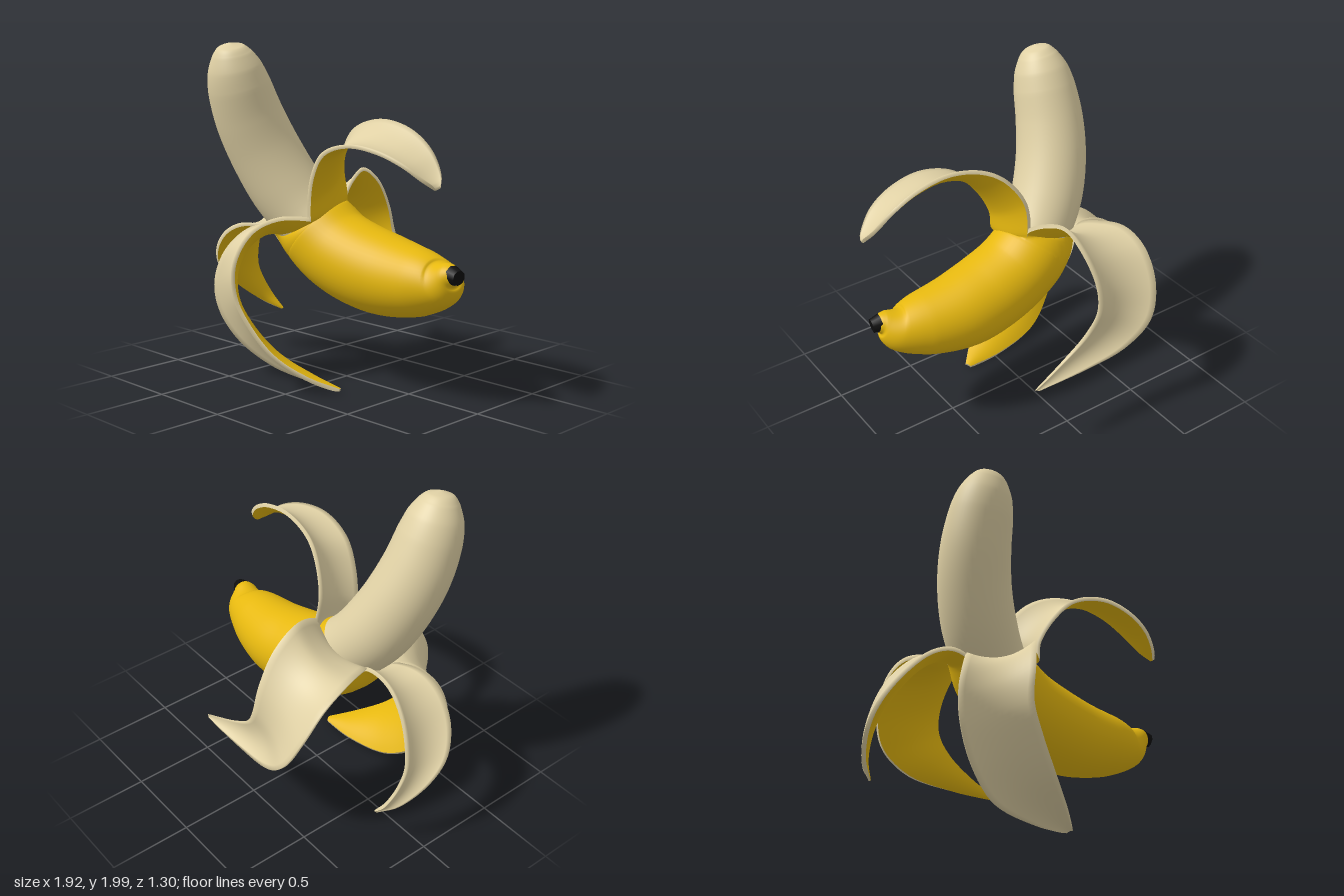
import * as THREE from 'three';

const V = (p) => new THREE.Vector3(p[0], p[1], p[2]);
const spline = (pts) => new THREE.CatmullRomCurve3(pts.map((p) => (p.isVector3 ? p : V(p))));

// Smooth surface through equal-length rows of points
function skinRows(rows, { wrap = false, flip = false } = {}) {
  const n = rows[0].length, pos = [], idx = [];
  rows.forEach((r) => r.forEach((p) => pos.push(p.x, p.y, p.z)));
  for (let i = 0; i < rows.length - 1; i++) {
    for (let j = 0; j < (wrap ? n : n - 1); j++) {
      const k = (j + 1) % n;
      const a = i * n + j, b = i * n + k, c = a + n, d = b + n;
      if (flip) idx.push(a, c, b, b, c, d);
      else idx.push(a, b, c, b, d, c);
    }
  }
  const g = new THREE.BufferGeometry();
  g.setAttribute('position', new THREE.Float32BufferAttribute(pos, 3));
  g.setIndex(idx);
  g.computeVertexNormals();
  return g;
}

// Round sweep; every station is [x, y, z, radius]
function sweep(stations, steps, sides) {
  const path = spline(stations);
  const radius = spline(stations.map((s, i) => [s[3], i * 0.1, 0]));
  const rows = [];
  for (let i = 0; i <= steps; i++) {
    const c = path.getPoint(i / steps), t = path.getTangent(i / steps);
    const r = Math.max(0.001, radius.getPoint(i / steps).x);
    const u = new THREE.Vector3(0, 0, 1).addScaledVector(t, -t.z).normalize();
    const v = t.clone().cross(u);
    rows.push(Array.from({ length: sides }, (_, j) => {
      const a = (j / sides) * Math.PI * 2;
      return c.clone().addScaledVector(u, r * Math.cos(a)).addScaledVector(v, r * Math.sin(a));
    }));
  }
  return skinRows(rows, { wrap: true });
}

// Unpeeled half, from the stem to the opening (last station is tucked inside)
const SKIN = [
  [0.91, 0.772, 0.105, 0.05], [0.88, 0.765, 0.1, 0.075], [0.8, 0.715, 0.075, 0.135],
  [0.65, 0.69, 0.06, 0.188], [0.4, 0.688, 0.045, 0.232], [0.2, 0.72, 0.055, 0.245],
  [0, 0.79, 0.07, 0.245], [-0.14, 0.89, 0.085, 0.24], [-0.19, 0.95, 0.11, 0.2],
];
const FLESH = [
  [-0.08, 0.86, 0.08, 0.19], [-0.23, 1.0, 0.13, 0.205], [-0.335, 1.15, 0.185, 0.215],
  [-0.42, 1.35, 0.26, 0.212], [-0.465, 1.55, 0.34, 0.203], [-0.475, 1.74, 0.41, 0.185],
  [-0.472, 1.85, 0.445, 0.158], [-0.467, 1.93, 0.468, 0.115], [-0.463, 1.97, 0.478, 0.075],
  [-0.46, 1.99, 0.483, 0],
];

// Corners where neighbouring strips split
const AB = [0, 0.98, 0.29], BC = [-0.03, 1.1, -0.04];
const CD = [-0.43, 0.97, 0], DA = [-0.42, 0.88, 0.23];

// Both long edges of each strip
const PEELS = {
  frontPeel: [
    [DA, [-0.49, 0.87, 0.32], [-0.58, 0.75, 0.42], [-0.635, 0.57, 0.46], [-0.615, 0.4, 0.45],
      [-0.51, 0.22, 0.39], [-0.32, 0.085, 0.3], [-0.02, 0.035, 0.25], [0.2, 0.025, 0.25]],
    [AB, [-0.12, 0.985, 0.42], [-0.2, 0.92, 0.55], [-0.26, 0.75, 0.63], [-0.27, 0.55, 0.62],
      [-0.2, 0.4, 0.59], [-0.06, 0.22, 0.52], [0.1, 0.1, 0.4], [0.22, 0.035, 0.28]],
  ],
  leftPeel: [
    [AB, [0.01, 1.1, 0.3], [0.08, 1.25, 0.34], [0.2, 1.38, 0.38], [0.4, 1.44, 0.4],
      [0.6, 1.42, 0.385], [0.75, 1.36, 0.35], [0.84, 1.29, 0.3], [0.89, 1.245, 0.25]],
    [BC, [-0.03, 1.28, -0.01], [0.07, 1.44, 0.04], [0.2, 1.52, 0.08], [0.4, 1.56, 0.1],
      [0.6, 1.52, 0.11], [0.75, 1.43, 0.13], [0.85, 1.32, 0.17], [0.9, 1.255, 0.22]],
  ],
  backPeel: [
    [BC, [-0.08, 1.19, -0.17], [-0.12, 1.21, -0.28], [-0.14, 1.12, -0.42], [-0.16, 0.95, -0.53],
      [-0.15, 0.8, -0.56], [-0.08, 0.67, -0.55], [0.08, 0.55, -0.55], [0.31, 0.465, -0.59]],
    [CD, [-0.52, 1.04, -0.15], [-0.57, 1.05, -0.28], [-0.59, 0.99, -0.42], [-0.575, 0.83, -0.55],
      [-0.5, 0.65, -0.62], [-0.33, 0.51, -0.61], [-0.03, 0.46, -0.6], [0.29, 0.455, -0.595]],
  ],
  rightPeel: [
    [CD, [-0.52, 0.97, 0.02], [-0.63, 0.93, 0.02], [-0.74, 0.83, 0], [-0.82, 0.7, -0.03],
      [-0.86, 0.56, -0.06], [-0.86, 0.45, -0.11], [-0.83, 0.34, -0.165], [-0.78, 0.26, -0.2]],
    [DA, [-0.5, 0.89, 0.28], [-0.6, 0.88, 0.31], [-0.72, 0.82, 0.32], [-0.84, 0.7, 0.29],
      [-0.925, 0.56, 0.2], [-0.935, 0.45, 0.08], [-0.88, 0.33, -0.07], [-0.785, 0.25, -0.19]],
  ],
};

// Strip: outer sheet, plus inner sheet whose rim folds over to meet it
function peelSheets([edgeA, edgeB], centre, dir, baseR) {
  const radial = (p) => {
    const q = p.clone().sub(centre);
    return q.addScaledVector(dir, -q.dot(dir)).normalize();
  };
  const edge = (pts) => spline([centre.clone().addScaledVector(radial(V(pts[0])), baseR), ...pts]);
  const ca = edge(edgeA), cb = edge(edgeB);
  const N = 56, M = 12, outer = [], inner = [];
  for (let i = 0; i <= N; i++) {
    const s = i / N, a = ca.getPoint(s), b = cb.getPoint(s);
    const across = b.clone().sub(a), width = across.length();
    const along = ca.getTangent(s).add(cb.getTangent(s));
    const out = across.clone().cross(along).normalize();
    const round = 1 - THREE.MathUtils.smoothstep(s, 0, 0.13);
    const thick = 0.024 * Math.min(1, width / 0.1 + 0.3);
    const row = [], lining = [];
    for (let j = 0; j <= M; j++) {
      const k = j / M;
      const chord = a.clone().lerp(b, k);
      const axial = chord.clone().sub(centre).dot(dir);
      const rim = radial(chord);
      const arc = centre.clone().addScaledVector(dir, axial).addScaledVector(rim, baseR);
      const p = chord.addScaledVector(out, 0.13 * width * 4 * k * (1 - k)).lerp(arc, round);
      const n = out.clone().lerp(rim, round).normalize();
      row.push(p);
      lining.push(p.clone().addScaledVector(n, -thick));
    }
    outer.push(row);
    inner.push([row[0], ...lining, row[M]]);
  }
  const last = outer[N];
  inner.push([last[0], ...last, last[M]]);
  return [skinRows(outer), skinRows(inner, { flip: true })];
}

export function createModel() {
  const mat = (name, color) => {
    const m = new THREE.MeshStandardMaterial({ color });
    m.name = name;
    return m;
  };
  const yellow = mat('peelYellow', 0xe6b80f);
  const cream = mat('fleshCream', 0xe0d1a5);
  const black = mat('stemBlack', 0x0e0e0e);

  const model = new THREE.Group();
  model.name = 'peeledBanana';
  const add = (name, geo, material, parent = model) => {
    const mesh = new THREE.Mesh(geo, material);
    mesh.name = name;
    parent.add(mesh);
    return mesh;
  };

  add('unpeeledSkin', sweep(SKIN, 64, 48), yellow);
  add('flesh', sweep(FLESH, 72, 48), cream);

  // Black stem end
  const stem = add('stemEnd', new THREE.CylinderGeometry(0.042, 0.056, 0.055, 9), black);
  stem.position.set(0.92, 0.772, 0.107);
  stem.quaternion.setFromUnitVectors(new THREE.Vector3(0, 1, 0), V([1, -0.12, 0.15]).normalize());

  // Four strips folded away from the opening
  const path = spline(SKIN), t = (SKIN.length - 2) / (SKIN.length - 1);
  const centre = path.getPoint(t), dir = path.getTangent(t);
  for (const [name, edges] of Object.entries(PEELS)) {
    const group = new THREE.Group();
    group.name = name;
    const [outside, inside] = peelSheets(edges, centre, dir, 0.24);
    add(name + 'Outside', outside, yellow, group);
    add(name + 'Inside', inside, cream, group);
    model.add(group);
  }
  return model;
}
